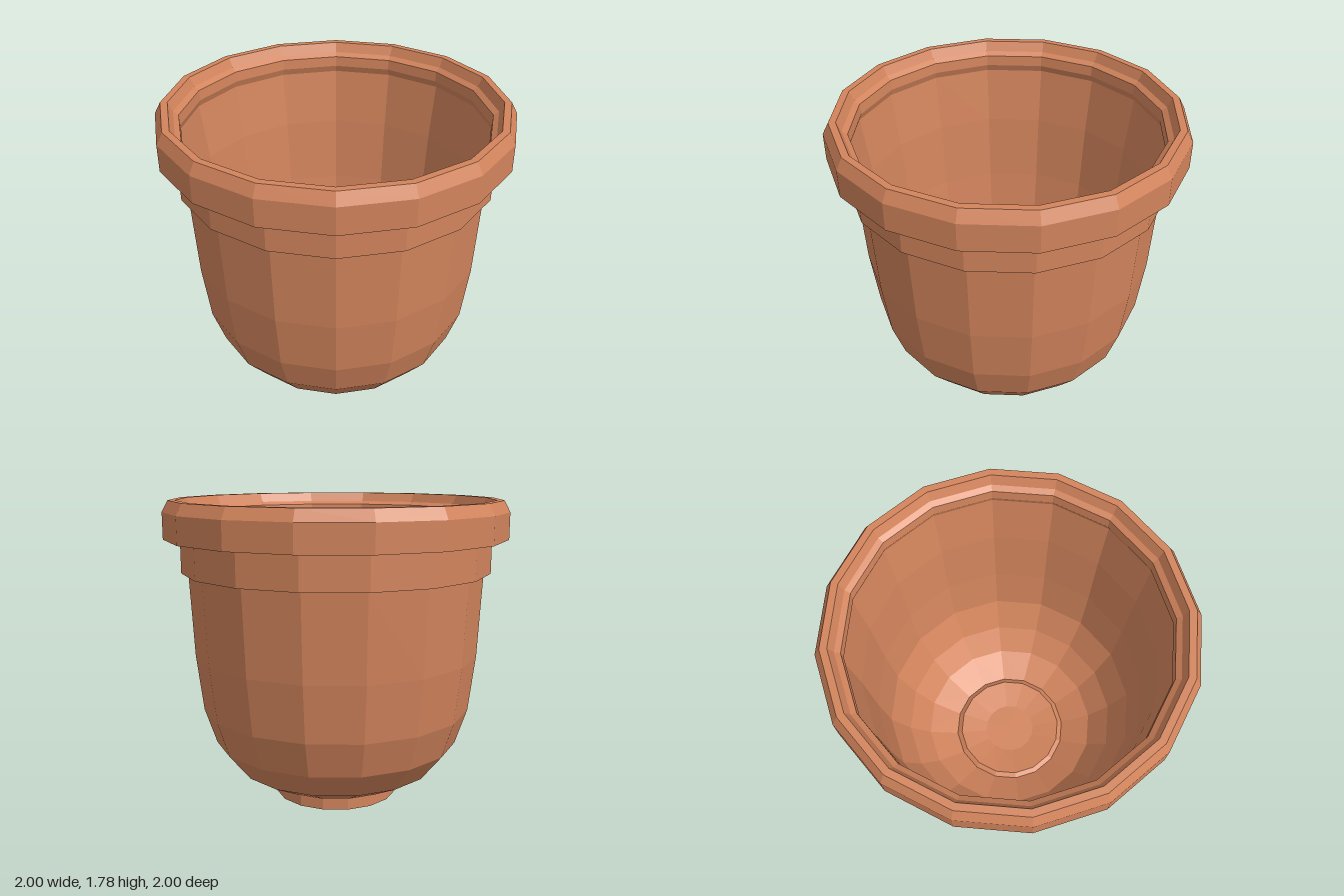
import * as THREE from 'three';

const SIDES = 16;

export function createModel() {
  const pot = new THREE.Group();
  pot.name = 'flowerPot';
  const clay = new THREE.MeshStandardMaterial({ color: 0xd2845c, flatShading: true });

  // Each part is a faceted turning of a [radius, height] profile
  const turn = (name, profile) => {
    const points = profile.map(([r, y]) => new THREE.Vector2(r, y));
    const mesh = new THREE.Mesh(new THREE.LatheGeometry(points, SIDES), clay);
    mesh.name = name;
    pot.add(mesh);
  };

  // Closed foot under the bowl
  turn('foot', [[0, 0], [0.37, 0], [0.37, 0.08]]);

  // Rounded outer wall
  turn('outerWall', [
    [0.37, 0.08], [0.4, 0.08], [0.6, 0.18], [0.73, 0.34],
    [0.8, 0.55], [0.84, 0.88], [0.865, 1.37],
  ]);

  // Stepped collar below the rim
  turn('collar', [[0.865, 1.37], [0.905, 1.37], [0.905, 1.565]]);

  // Thick chamfered rim with a small inner lip
  turn('rim', [
    [0.905, 1.565], [1, 1.565], [1, 1.72], [0.965, 1.785],
    [0.925, 1.785], [0.9, 1.73], [0.87, 1.71], [0.865, 1.65], [0.88, 1.61],
  ]);

  // Inner wall going down to the floor
  turn('innerWall', [
    [0.88, 1.61], [0.835, 1.28], [0.8, 0.88], [0.76, 0.57],
    [0.66, 0.36], [0.54, 0.22], [0.36, 0.13],
  ]);

  // Floor with a low ridge around a shallow dish
  turn('floor', [[0.36, 0.13], [0.33, 0.15], [0.16, 0.12], [0, 0.12]]);

  return pot;
}
